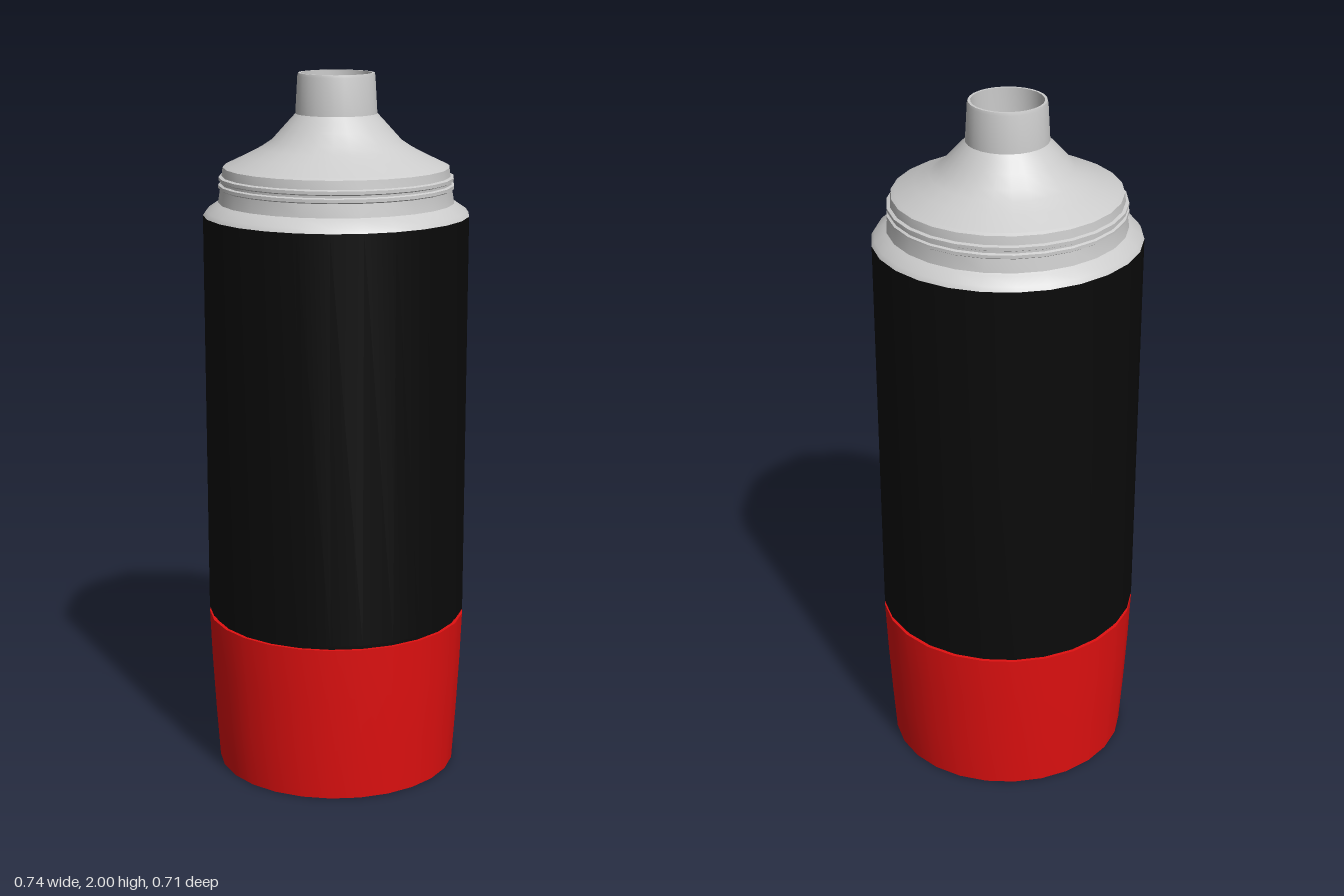
import * as THREE from 'three';
import { toCreasedNormals } from 'three/addons/utils/BufferGeometryUtils.js';

const SIDES = 26;
const DEPTH = 0.96; // the bottle is slightly narrower front to back

// Turned part from [radius, height] points, listed from bottom to top
function turned(name, profile, color) {
  const points = profile.map(([r, y]) => new THREE.Vector2(r, y));
  const lathe = new THREE.LatheGeometry(points, SIDES, Math.PI / 2);
  lathe.scale(1, 1, DEPTH);
  const mesh = new THREE.Mesh(
    toCreasedNormals(lathe, 0.5),
    new THREE.MeshStandardMaterial({ color })
  );
  mesh.name = name;
  return mesh;
}

export function createModel() {
  const model = new THREE.Group();
  model.name = 'bottle';
  const grey = 0xcccccc, black = 0x0a0a0a, red = 0xe01010;

  // Flat underside
  model.add(turned('basePlate', [[0, 0], [0.345, 0]], grey));

  // Tapered lower band with a narrow lip
  model.add(turned('lowerBand', [[0.345, 0], [0.355, 0.15], [0.364, 0.31], [0.37, 0.455], [0.36, 0.455]], red));

  // Main body, with a small groove above the band
  model.add(turned('body', [[0.36, 0.455], [0.36, 0.468], [0.37, 0.468], [0.37, 1.613]], black));

  // Bevelled shoulder and two ridges
  model.add(turned('shoulder', [
    [0.37, 1.613], [0.362, 1.625], [0.335, 1.643], [0.328, 1.648], [0.322, 1.685],
    [0.327, 1.688], [0.327, 1.697], [0.32, 1.7], [0.32, 1.706],
    [0.326, 1.709], [0.326, 1.718], [0.317, 1.721], [0.314, 1.745], [0.305, 1.75],
  ], grey));

  // Sloping cone that sweeps up into the neck
  model.add(turned('cone', [
    [0.305, 1.75], [0.25, 1.776], [0.21, 1.797], [0.18, 1.817],
    [0.15, 1.85], [0.128, 1.874], [0.113, 1.89],
  ], grey));

  // Spout: outer wall, rim, inner wall and recessed floor
  model.add(turned('spout', [
    [0.113, 1.89], [0.107, 1.992], [0.105, 2], [0.098, 2], [0.098, 1.92], [0, 1.92],
  ], grey));

  return model;
}
